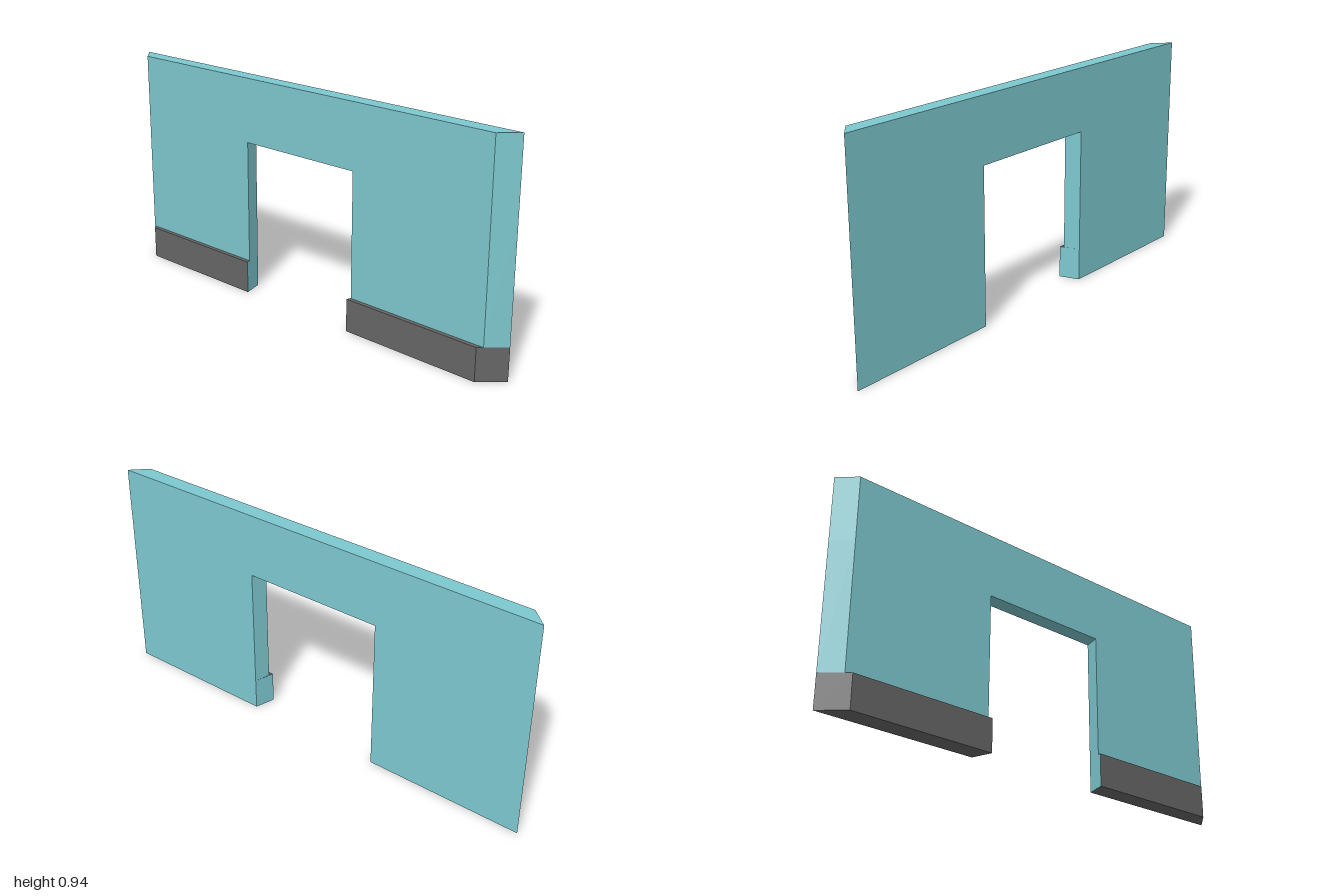
import * as THREE from 'three';

const teal = new THREE.MeshStandardMaterial({ color: 0x7dc8cf });
teal.name = 'teal plaster';
const grey = new THREE.MeshStandardMaterial({ color: 0x666666 });
grey.name = 'grey skirting';

// The wall stands at a very slight angle to the x axis
const skew = (x, z) => z - 0.0041 * x;
const BACK = -0.043, FACE = 0.0255, SKIRT = 0.0435;

// Four-sided block over a plan [x, z] listed back-left, front-left, front-right, back-right.
// Materials: 0 left, 1 front, 2 right, 3 back, 4 top, 5 bottom.
function block(name, plan, y0, y1, materials) {
  const pts = plan.map(([x, z]) => [x, skew(x, z)]);
  const low = pts.map(([x, z]) => [x, y0, z]);
  const high = pts.map(([x, z]) => [x, y1, z]);
  const pos = [];
  const quad = (a, b, c, d) => pos.push(...a, ...b, ...c, ...a, ...c, ...d);
  for (let i = 0; i < 4; i++) {
    const j = (i + 1) % 4;
    quad(low[i], low[j], high[j], high[i]);
  }
  quad(...high);
  quad(...[...low].reverse());
  const geo = new THREE.BufferGeometry();
  geo.setAttribute('position', new THREE.Float32BufferAttribute(pos, 3));
  geo.computeVertexNormals();
  for (let i = 0; i < 6; i++) geo.addGroup(i * 6, 6, i);
  const mesh = new THREE.Mesh(geo, materials);
  mesh.name = name;
  return mesh;
}

export function createModel() {
  const wall = new THREE.Group();
  wall.name = 'wallWithDoorway';
  const allTeal = Array(6).fill(teal);
  const skirtTop = 0.14, doorTop = 0.67, wallTop = 0.945;

  // Lintel across the full width, with mitred ends
  wall.add(block('lintel', [[-1, BACK], [-0.928, FACE], [0.932, FACE], [1, BACK]], doorTop, wallTop, allTeal));

  // Piers beside the splayed doorway
  wall.add(block('rightPier', [[-1, BACK], [-0.928, FACE], [-0.289, FACE], [-0.309, BACK]], skirtTop, doorTop, allTeal));
  wall.add(block('leftPier', [[0.311, BACK], [0.293, FACE], [0.932, FACE], [1, BACK]], skirtTop, doorTop, allTeal));

  // Skirting: grey outside, teal on the back and in the doorway
  wall.add(block('rightSkirting', [[-1, BACK], [-0.907, SKIRT], [-0.283, SKIRT], [-0.309, BACK]], 0, skirtTop,
    [grey, grey, teal, teal, grey, grey]));
  wall.add(block('leftSkirting', [[0.311, BACK], [0.286, SKIRT], [0.912, SKIRT], [1, BACK]], 0, skirtTop,
    [teal, grey, grey, teal, grey, grey]));
  return wall;
}
